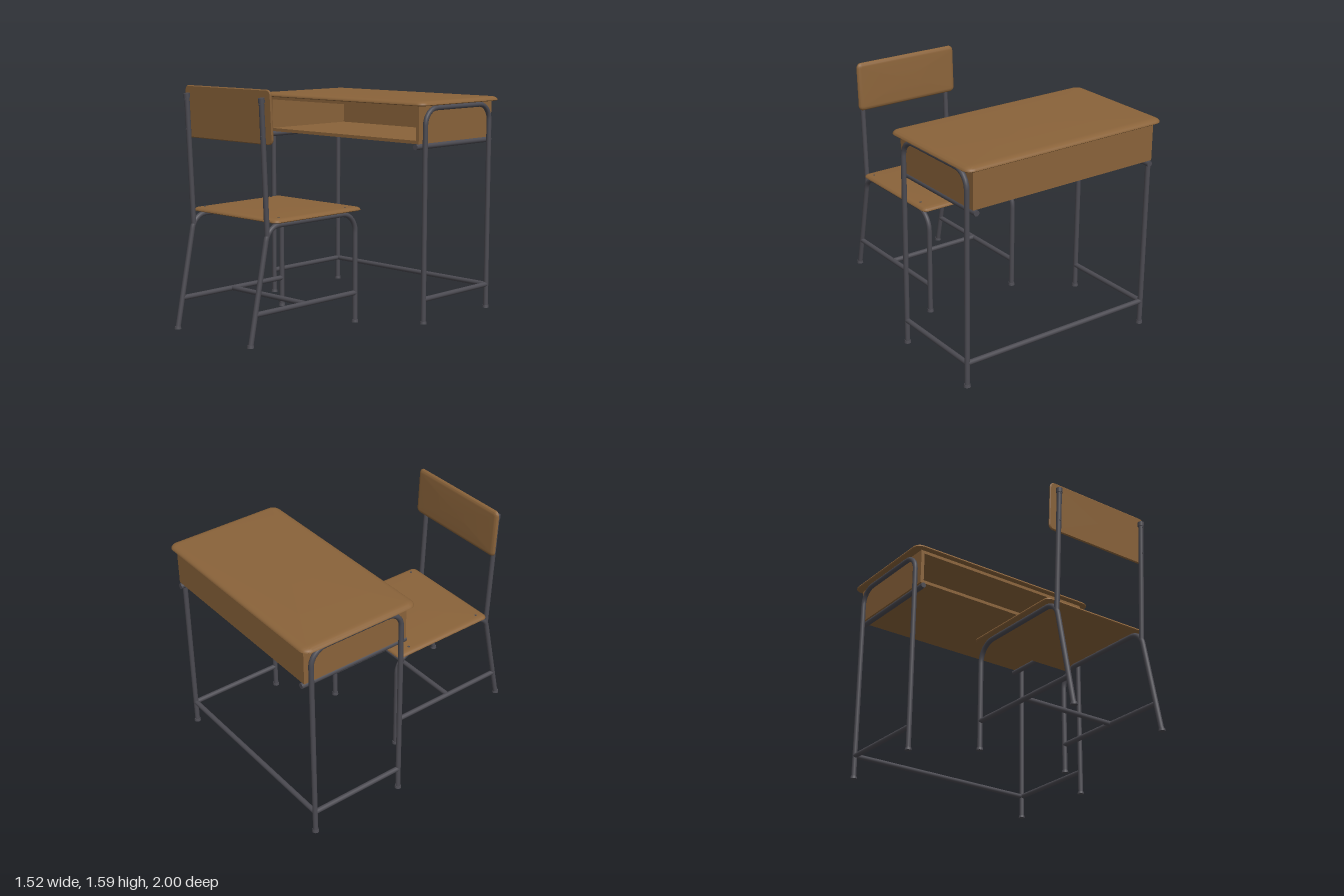
import * as THREE from 'three';
import { toCreasedNormals } from 'three/addons/utils/BufferGeometryUtils.js';

const wood = new THREE.MeshStandardMaterial({ color: 0x8a633a });
wood.name = 'wood';
const metal = new THREE.MeshStandardMaterial({ color: 0x4b4a51 });
metal.name = 'dark metal';

const V = (x, y, z) => new THREE.Vector3(x, y, z);
const R = 0.017; // tube radius

function add(parent, name, geometry, material) {
  const mesh = new THREE.Mesh(geometry, material);
  mesh.name = name;
  parent.add(mesh);
  return mesh;
}

// Straight round bar between two points
function bar(parent, name, a, b, r = R, material = metal) {
  const mesh = add(parent, name, new THREE.CylinderGeometry(r, r, a.distanceTo(b), 20), material);
  mesh.position.copy(a).lerp(b, 0.5);
  mesh.quaternion.setFromUnitVectors(V(0, 1, 0), b.clone().sub(a).normalize());
  return mesh;
}

// Tube along a polyline with rounded corners
function bentTube(parent, name, points, cuts) {
  const path = new THREE.CurvePath();
  let from = points[0];
  for (let i = 1; i < points.length - 1; i++) {
    const p = points[i];
    const toward = q => p.clone().add(q.clone().sub(p).setLength(cuts[i - 1]));
    const start = toward(points[i - 1]), end = toward(points[i + 1]);
    path.add(new THREE.LineCurve3(from, start));
    // cubic handles approximate a circular bend
    path.add(new THREE.CubicBezierCurve3(start, start.clone().lerp(p, 0.55), end.clone().lerp(p, 0.55), end));
    from = end;
  }
  path.add(new THREE.LineCurve3(from, points[points.length - 1]));
  return add(parent, name, new THREE.TubeGeometry(path, 120, R, 16), metal);
}

// Board with rounded corners, flat underside and a quarter-round upper edge
function board(w, d, h, corner, bevel) {
  const rows = [[0.006, 0], [0, 0.005]];
  for (let i = 1; i <= 7; i++) {
    const t = (i / 7) * Math.PI / 2;
    rows.push([bevel * (1 - Math.cos(t)), 0.005 + (h - 0.005) * Math.sin(t)]);
  }
  const pos = [], index = [], n = 28;
  for (const [inset, y] of rows) {
    const r = Math.max(corner - inset, 0.012);
    for (let c = 0; c < 4; c++) {
      const sx = c === 0 || c === 3 ? 1 : -1, sz = c < 2 ? 1 : -1;
      for (let k = 0; k < 7; k++) {
        const a = (c + k / 6) * Math.PI / 2;
        pos.push(sx * (w / 2 - inset - r) + r * Math.cos(a), y, sz * (d / 2 - inset - r) + r * Math.sin(a));
      }
    }
  }
  const bottom = rows.length * n, top = bottom + 1, last = (rows.length - 1) * n;
  pos.push(0, 0, 0, 0, h, 0);
  for (let j = 0; j < n; j++) {
    const k = (j + 1) % n;
    for (let i = 0; i < rows.length - 1; i++) {
      const a = i * n + j, b = i * n + k;
      index.push(a, a + n, b, b, a + n, b + n);
    }
    index.push(bottom, j, k, top, last + k, last + j);
  }
  const g = new THREE.BufferGeometry();
  g.setAttribute('position', new THREE.Float32BufferAttribute(pos, 3));
  g.setIndex(index);
  return toCreasedNormals(g, 0.6);
}

function foot(parent, x, z) {
  const mesh = add(parent, 'foot', new THREE.CylinderGeometry(0.02, 0.023, 0.018, 20), metal);
  mesh.position.set(x, 0.009, z);
}

function createDesk() {
  const desk = new THREE.Group();
  desk.name = 'desk';
  const zF = -0.245, zB = -0.927, zMid = -0.5825;

  add(desk, 'deskTop', board(1.52, 0.845, 0.03, 0.06, 0.05), wood).position.set(0, 1.45, -0.5775);

  // Open-fronted storage box
  const panel = (name, w, h, d, x, y, z) =>
    add(desk, name, new THREE.BoxGeometry(w, h, d), wood).position.set(x, y, z);
  panel('boxFloor', 1.4, 0.022, 0.775, 0, 1.211, zMid);
  panel('boxCeiling', 1.35, 0.022, 0.775, 0, 1.439, zMid);
  panel('boxBack', 1.35, 0.206, 0.022, 0, 1.325, -0.959);

  for (const s of [-1, 1]) {
    panel('boxSide', 0.025, 0.228, 0.775, s * 0.6875, 1.336, zMid);
    const x = s * 0.714;
    bentTube(desk, 'deskLegFrame', [V(x, 0, zF), V(x, 1.43, zF), V(x, 1.43, zB), V(x, 0, zB)], [0.11, 0.11]);
    foot(desk, x, zF);
    foot(desk, x, zB);
    bar(desk, 'deskSideStretcher', V(x, 0.165, zF), V(x, 0.165, zB));
    bar(desk, 'boxSupportRail', V(s * 0.68, 1.18, -0.185), V(s * 0.68, 1.18, -0.98), 0.019);
  }
  bar(desk, 'deskBackStretcher', V(-0.714, 0.165, zB), V(0.714, 0.165, zB));
  return desk;
}

function createChair() {
  const chair = new THREE.Group();
  chair.name = 'chair';

  add(chair, 'seat', board(0.8, 0.79, 0.026, 0.04, 0.04), wood).position.set(0, 0.758, 0.405);

  // Backrest: flat face against the posts, rounded edges toward the desk
  const back = add(chair, 'backrest', board(0.8, 0.34, 0.026, 0.035, 0.03), wood);
  back.position.set(0, 1.415, 0.838);
  back.rotation.x = -Math.PI / 2 + 0.05;

  for (const s of [-1, 1]) {
    const x = s * 0.35;
    bentTube(chair, 'chairLegFrame',
      [V(x, 0, 0.03), V(x, 0.74, 0.03), V(x, 0.74, 0.822), V(x, 0, 0.977)], [0.13, 0.09]);
    foot(chair, x, 0.03);
    foot(chair, x, 0.977);
    bar(chair, 'chairSideStretcher', V(x, 0.2, 0.03), V(x, 0.2, 0.935));

    const low = V(x, 0.68, 0.83), high = V(x, 1.535, 0.873);
    bar(chair, 'backPost', low, high);
    bar(chair, 'postCap', low.clone().lerp(high, 0.965), high, 0.021);

    // Screws through the posts and the seat
    for (const y of [1.3, 1.495]) {
      const z = 0.83 + (y - 0.68) * 0.0503;
      bar(chair, 'postScrew', V(x, y, z), V(x, y, z + R + 0.003), 0.006);
    }
    for (const z of [0.13, 0.73]) bar(chair, 'seatScrew', V(x, 0.77, z), V(x, 0.787, z), 0.007);
  }
  bar(chair, 'chairCrossStretcher', V(-0.35, 0.202, 0.5), V(0.35, 0.202, 0.5));
  return chair;
}

export function createModel() {
  const model = new THREE.Group();
  model.name = 'school desk and chair';
  model.add(createDesk(), createChair());
  return model;
}
